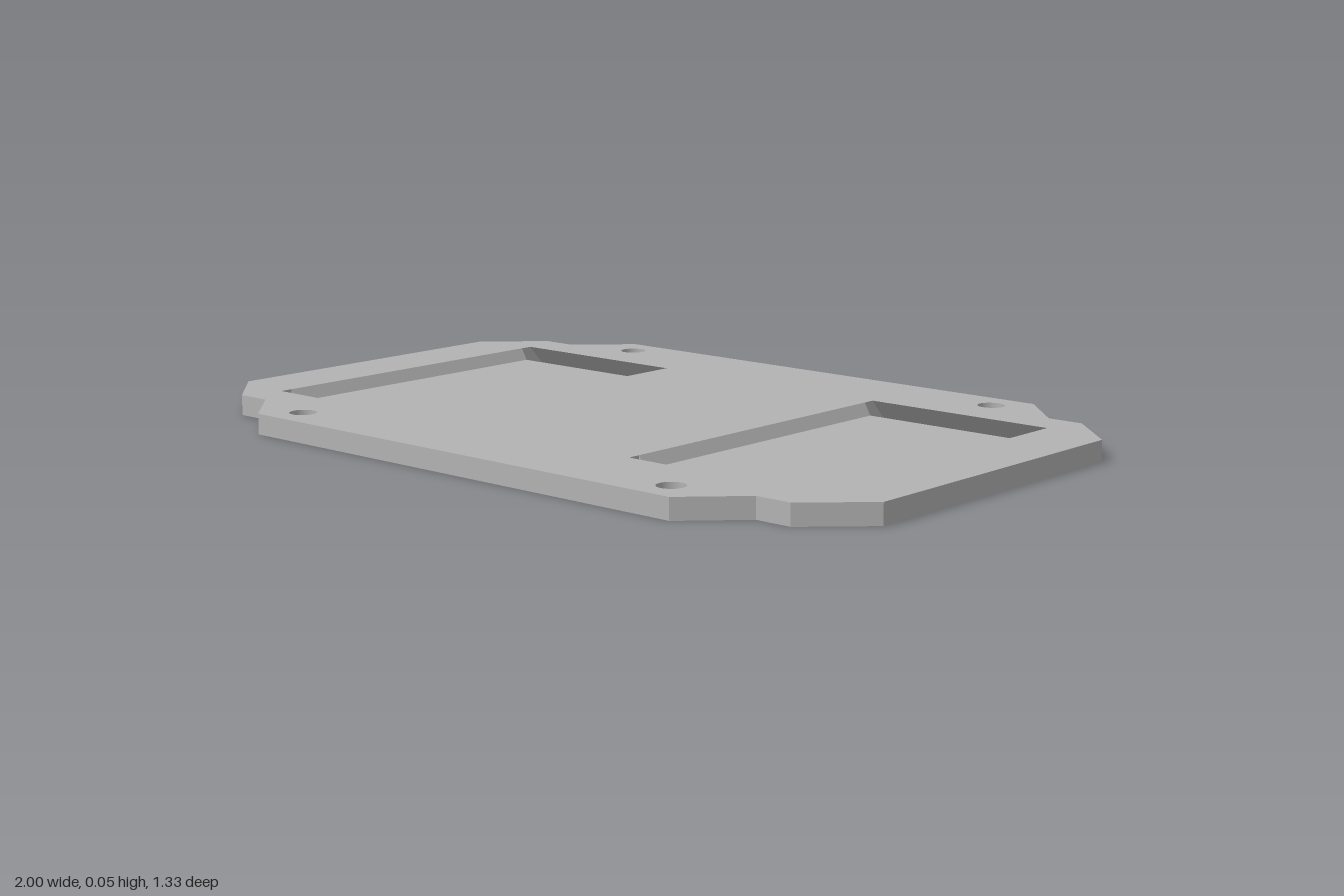
import * as THREE from 'three';

const T = 0.05;            // plate thickness
const FLOOR = 0.02;        // pocket floor height
const PX = 0.585, HX = 0.25; // pocket centre and half width
const Z_RIM = 0.44, Z_FLOOR = 0.408; // pocket rim and floor ends
const SLOT_IN = 0.426, SLOT_OUT = 0.485; // slanted slot mouth on the underside
const DRAFT = 0.017;       // inward lean of the long pocket walls
const HOLE = 0.583, HOLE_R = 0.033;

const grey = new THREE.MeshStandardMaterial({ color: 0xb2b2b2, side: THREE.DoubleSide });
grey.name = 'plate grey';

function mesh(name, geometry, parent) {
  const m = new THREE.Mesh(geometry, grey);
  m.name = name;
  parent.add(m);
  return m;
}

// Flat-shaded surface from quads, corners counter-clockwise
function quads(list) {
  const pos = [];
  for (const [a, b, c, d] of list) pos.push(...a, ...b, ...c, ...a, ...c, ...d);
  const g = new THREE.BufferGeometry();
  g.setAttribute('position', new THREE.Float32BufferAttribute(pos, 3));
  g.computeVertexNormals();
  return g;
}

// Plate outline mirrored from one corner
function outline() {
  const q = [[1, 0.41], [0.865, 0.54], [0.775, 0.54], [0.65, 0.665]];
  const r = [...q].reverse();
  return [...q, ...r.map(([x, z]) => [-x, z]), ...q.map(([x, z]) => [-x, -z]), ...r.map(([x, z]) => [x, -z])];
}

const toShape = pts => new THREE.Shape(pts.map(p => new THREE.Vector2(...p)));

function rectPath(x0, x1, z0, z1) {
  return new THREE.Path([[x0, z0], [x0, z1], [x1, z1], [x1, z0]].map(p => new THREE.Vector2(...p)));
}

// Plate face with screw holes and the given rectangular openings
function faceShape(openings) {
  const s = toShape(outline());
  for (const sx of [-1, 1]) for (const sz of [-1, 1]) {
    const hole = new THREE.Path();
    hole.absarc(sx * HOLE, sz * HOLE, HOLE_R, 0, Math.PI * 2, true);
    s.holes.push(hole);
  }
  s.holes.push(...openings);
  return new THREE.ShapeGeometry(s, 16);
}

function pocket(cx) {
  const g = new THREE.Group();
  const x0 = -HX, x1 = HX, f0 = x0 + DRAFT, f1 = x1 - DRAFT;
  mesh('pocketFloor', quads([[[x0, FLOOR, Z_FLOOR], [x1, FLOOR, Z_FLOOR], [x1, FLOOR, -Z_FLOOR], [x0, FLOOR, -Z_FLOOR]]]), g);

  // Slanted strap slot at each end: floor bevel and undercut outer wall
  for (const s of [1, -1]) {
    const slot = mesh('strapSlot', quads([
      [[x0, 0, SLOT_IN], [x1, 0, SLOT_IN], [x1, FLOOR, Z_FLOOR], [x0, FLOOR, Z_FLOOR]],
      [[x1, 0, SLOT_OUT], [x0, 0, SLOT_OUT], [x0, T, Z_RIM], [x1, T, Z_RIM]],
    ]), g);
    if (s < 0) slot.rotation.y = Math.PI;
  }

  // Leaning long walls with their small end caps, and the flat slot ends behind them
  const side = toShape([[-SLOT_OUT, 0], [-SLOT_IN, 0], [-Z_FLOOR, FLOOR], [Z_FLOOR, FLOOR],
    [SLOT_IN, 0], [SLOT_OUT, 0], [Z_RIM, T], [-Z_RIM, T]]);
  for (const s of [1, -1]) {
    const end = mesh('slotEnds', new THREE.ShapeGeometry(side).rotateY(-s * Math.PI / 2), g);
    end.position.x = s * HX;
    const wedge = toShape([[f1, FLOOR], [x1, FLOOR], [x1, T]]);
    const wall = mesh('pocketSideWall', new THREE.ExtrudeGeometry(wedge, { depth: 2 * Z_FLOOR, bevelEnabled: false })
      .translate(0, 0, -Z_FLOOR), g);
    if (s < 0) wall.rotation.y = Math.PI;
  }
  g.position.x = cx;
  return g;
}

export function createModel() {
  const model = new THREE.Group();
  model.name = 'mountingPlate';

  // Top and bottom faces
  const rims = [], slots = [];
  for (const s of [-1, 1]) {
    const a = s * PX - HX, b = s * PX + HX;
    rims.push(rectPath(a, b, -Z_RIM, Z_RIM));
    slots.push(rectPath(a, b, SLOT_IN, SLOT_OUT), rectPath(a, b, -SLOT_OUT, -SLOT_IN));
  }
  mesh('topFace', faceShape(rims).rotateX(-Math.PI / 2), model).position.y = T;
  mesh('bottomFace', faceShape(slots).rotateX(Math.PI / 2), model);

  // Outer edge
  const pts = outline();
  mesh('outerEdge', quads(pts.map(([x, z], i) => {
    const [u, w] = pts[(i + 1) % pts.length];
    return [[x, 0, -z], [u, 0, -w], [u, T, -w], [x, T, -z]];
  })), model);

  // Screw hole bores
  for (const sx of [-1, 1]) for (const sz of [-1, 1]) {
    mesh('screwHole', new THREE.CylinderGeometry(HOLE_R, HOLE_R, T, 32, 1, true), model)
      .position.set(sx * HOLE, T / 2, sz * HOLE);
  }

  // Recessed pockets
  for (const s of [-1, 1]) {
    const p = pocket(s * PX);
    p.name = s > 0 ? 'leftPocket' : 'rightPocket';
    model.add(p);
  }
  return model;
}
